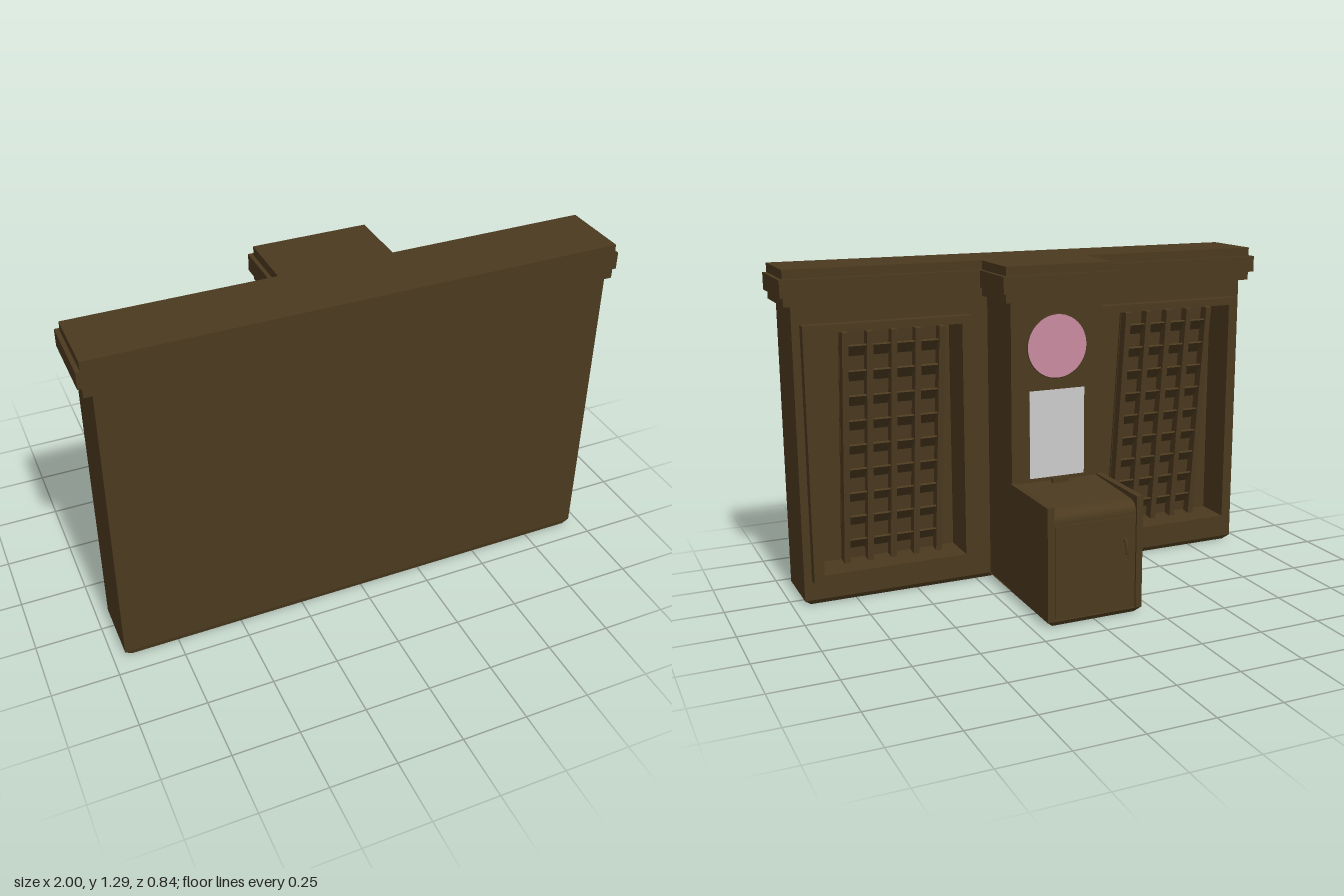
import * as THREE from 'three';

const wood = new THREE.MeshStandardMaterial({ color: 0x4b3a1f });
const pink = new THREE.MeshStandardMaterial({ color: 0xc88ba0 });
const pale = new THREE.MeshStandardMaterial({ color: 0xcccccc });

function add(parent, name, geometry, material = wood) {
  const mesh = new THREE.Mesh(geometry, material);
  mesh.name = name;
  parent.add(mesh);
  return mesh;
}

// Box given by its limits on each axis
function block(parent, name, [x0, x1], [y0, y1], [z0, z1], material) {
  const g = new THREE.BoxGeometry(x1 - x0, y1 - y0, z1 - z0);
  g.translate((x0 + x1) / 2, (y0 + y1) / 2, (z0 + z1) / 2);
  return add(parent, name, g, material);
}

// Low base block whose underside is drawn in at the sides and back
function plinth(parent, name, halfX, z0, z1) {
  const g = new THREE.BoxGeometry(halfX * 2, 0.02, z1 - z0);
  g.translate(0, 0.01, (z0 + z1) / 2);
  const p = g.attributes.position;
  for (let i = 0; i < p.count; i++) {
    if (p.getY(i) > 0.01) continue;
    p.setX(i, p.getX(i) - Math.sign(p.getX(i)) * 0.025);
    p.setZ(i, p.getZ(i) < (z0 + z1) / 2 ? z0 + 0.015 : z1 - 0.005);
  }
  g.computeVertexNormals();
  return add(parent, name, g);
}

function rect(Type, [x0, x1], [y0, y1]) {
  return new Type([[x0, y0], [x1, y0], [x1, y1], [x0, y1]].map(([x, y]) => new THREE.Vector2(x, y)));
}

// Flat board with a rectangular opening, running from z0 to z1
function framed(parent, name, xs, ys, holeX, holeY, z0, z1) {
  const s = rect(THREE.Shape, xs, ys);
  s.holes.push(rect(THREE.Path, holeX, holeY));
  const g = new THREE.ExtrudeGeometry(s, { depth: z1 - z0, bevelEnabled: false });
  g.translate(0, 0, z0);
  return add(parent, name, g);
}

// Leaning display rack: upright posts with rows of outward-tipped slats
function rack(parent) {
  const g = new THREE.Group();
  g.name = 'rack';
  const height = 0.93, half = 0.2, posts = 5, rows = 9;
  for (let i = 0; i < posts; i++) {
    const x = -half + 0.012 + (i * (2 * half - 0.024)) / (posts - 1);
    block(g, 'rackPost', [x - 0.012, x + 0.012], [0, height], [0, 0.04]);
  }
  for (let r = 0; r < rows; r++) {
    const slat = add(g, 'rackSlat', new THREE.BoxGeometry(2 * half - 0.03, 0.06, 0.008));
    slat.position.set(0, 0.07 + r * 0.098, 0.028);
    slat.rotation.x = -0.65;
  }
  block(g, 'rackBacking', [-half, half], [0, height], [0.045, 0.053]);
  g.position.set(0.585, 0.135, 0.218);
  g.rotation.x = -0.11;
  parent.add(g);
}

export function createModel() {
  const model = new THREE.Group();
  model.name = 'counterCabinet';

  // Main wall, column and base
  block(model, 'frontWall', [-0.955, 0.955], [0.02, 1.16], [0.29, 0.42]);
  block(model, 'column', [-0.19, 0.19], [0.02, 1.16], [-0.055, 0.29]);
  plinth(model, 'wallBase', 0.955, 0.18, 0.42);
  plinth(model, 'columnBase', 0.195, -0.398, 0.19);

  // Stepped cornice over wall and column
  const steps = [
    [1.16, 1.195, 0.985, 0.155, 0.22, -0.085],
    [1.195, 1.26, 1.0, 0.137, 0.235, -0.1],
    [1.26, 1.295, 0.985, 0.155, 0.22, -0.085],
  ];
  for (const [y0, y1, w, zb, cw, cz] of steps) {
    const s = new THREE.Shape();
    // Shape y is -z, so that the extrusion rises along y
    [[-w, -0.42], [w, -0.42], [w, -zb], [cw, -zb], [cw, -cz], [-cw, -cz], [-cw, -zb], [-w, -zb]]
      .forEach(([x, y], i) => (i ? s.lineTo(x, y) : s.moveTo(x, y)));
    const g = new THREE.ExtrudeGeometry(s, { depth: y1 - y0, bevelEnabled: false });
    g.rotateX(-Math.PI / 2);
    g.translate(0, y0, 0);
    add(model, 'cornice', g);
  }

  // Wings: recessed bay, raised frame and leaning rack on each side
  for (const side of [1, -1]) {
    const wing = new THREE.Group();
    wing.name = side > 0 ? 'leftWing' : 'rightWing';
    const m = (a, b) => (side > 0 ? [a, b] : [-b, -a]);
    framed(wing, 'bay', m(0.19, 0.955), [0.02, 1.16], m(0.31, 0.885), [0.13, 1.06], 0.18, 0.29);
    framed(wing, 'bayFrame', m(0.27, 0.925), [0.1, 1.09], m(0.31, 0.885), [0.13, 1.06], 0.137, 0.18);
    rack(wing);
    if (side < 0) wing.getObjectByName('rack').position.x *= -1;
    model.add(wing);
  }

  // Round plate and notice panel on the column
  const disc = new THREE.CylinderGeometry(0.122, 0.122, 0.004, 48);
  disc.rotateX(Math.PI / 2);
  add(model, 'roundPlate', disc, pink).position.set(0, 0.982, -0.056);
  const ring = add(model, 'plateRim', new THREE.TorusGeometry(0.122, 0.003, 6, 48));
  ring.position.set(0, 0.982, -0.055);
  block(model, 'noticePanel', [-0.115, 0.115], [0.47, 0.815], [-0.0565, -0.05], pale);

  // Low cupboard: cheeks, rounded lid, door
  const cupboard = new THREE.Group();
  cupboard.name = 'cupboard';
  for (const s of [1, -1]) {
    const x = s * 0.182;
    block(cupboard, 'cheek', [x - 0.013, x + 0.013], [0.02, 0.46], [-0.398, -0.05]);
  }
  const profile = new THREE.Shape();
  profile.moveTo(0.05, 0.02);
  profile.lineTo(0.39, 0.02);
  profile.lineTo(0.39, 0.4);
  profile.quadraticCurveTo(0.388, 0.436, 0.34, 0.44);
  profile.lineTo(0.05, 0.455);
  const core = new THREE.ExtrudeGeometry(profile, { depth: 0.34, bevelEnabled: false, curveSegments: 8 });
  core.rotateY(Math.PI / 2);
  core.translate(-0.17, 0, 0);
  add(cupboard, 'lidAndCore', core);
  block(cupboard, 'door', [-0.163, 0.163], [0.03, 0.385], [-0.395, -0.385]);
  block(cupboard, 'lidCatch', [-0.035, 0.035], [0.45, 0.473], [-0.092, -0.082]);

  // Curved door handle
  const path = new THREE.CatmullRomCurve3([
    new THREE.Vector3(-0.122, 0.3, -0.39),
    new THREE.Vector3(-0.122, 0.295, -0.405),
    new THREE.Vector3(-0.122, 0.275, -0.412),
    new THREE.Vector3(-0.122, 0.252, -0.414),
  ]);
  add(cupboard, 'handle', new THREE.TubeGeometry(path, 12, 0.007, 8));
  const tip = add(cupboard, 'handleTip', new THREE.SphereGeometry(0.007, 8, 6));
  tip.position.set(-0.122, 0.252, -0.414);
  model.add(cupboard);

  return model;
}
